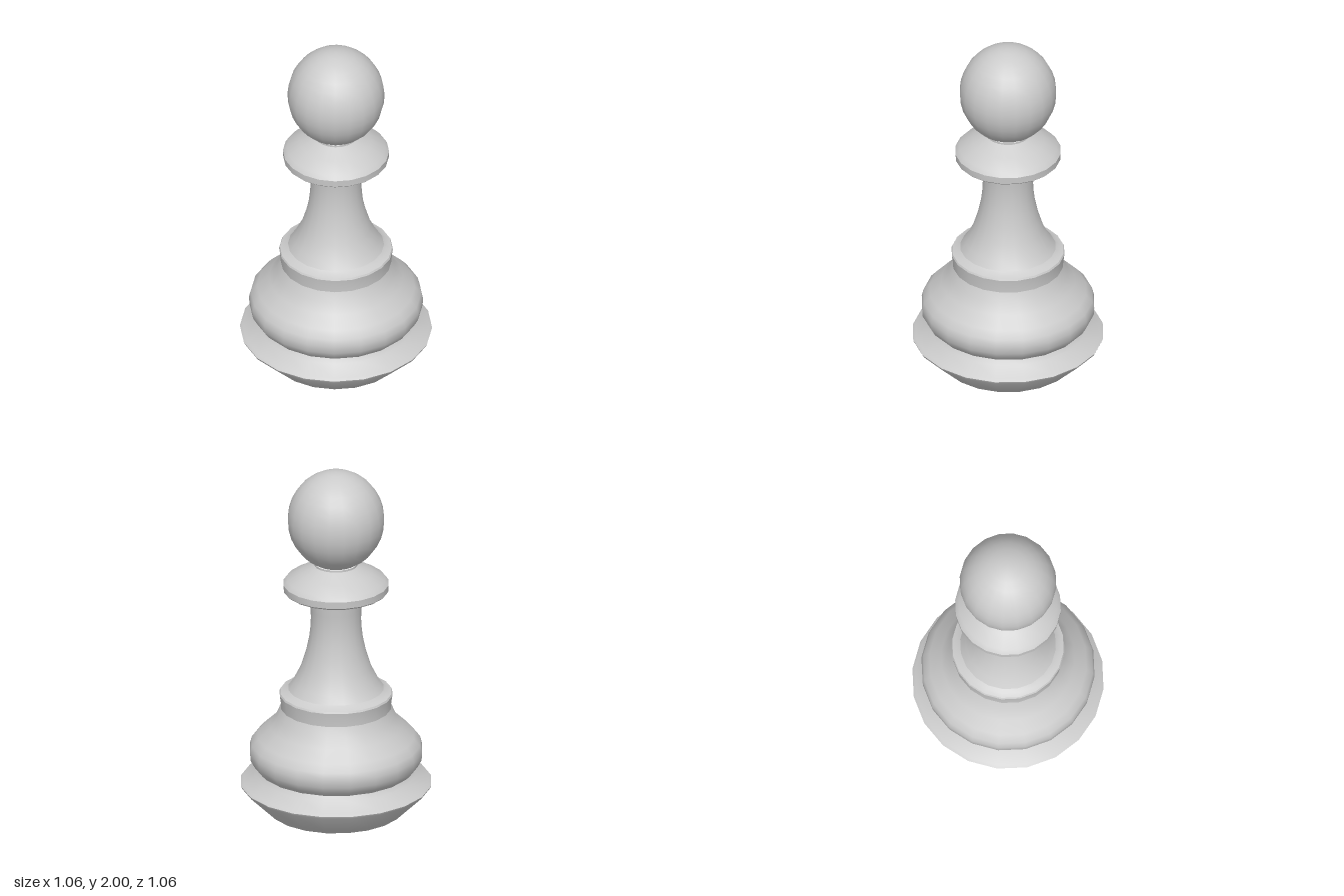
import * as THREE from 'three';
import { toCreasedNormals } from 'three/addons/utils/BufferGeometryUtils.js';

const SIDES = 20;
const TURN = 0.058; // slight turn of the facets about the axis

export function createModel() {
  const pawn = new THREE.Group();
  pawn.name = 'pawn';
  const material = new THREE.MeshStandardMaterial({ color: 0xcccccc });

  // Turns a bottom-to-top profile of [radius, height] pairs
  function addTurned(name, profile, crease = 0.55) {
    const points = profile.map(([r, y]) => new THREE.Vector2(r, y));
    const lathe = new THREE.LatheGeometry(points, SIDES, TURN);
    const mesh = new THREE.Mesh(toCreasedNormals(lathe, crease), material);
    mesh.name = name;
    pawn.add(mesh);
  }

  // Flared foot with a sharp rim and a groove above it
  addTurned('base', [
    [0, 0], [0.375, 0], [0.40, 0.025], [0.525, 0.148],
    [0.53, 0.16], [0.515, 0.172], [0.44, 0.215], [0.42, 0.245],
  ]);

  // Rounded belly narrowing to the waist
  addTurned('body', [
    [0.42, 0.245], [0.432, 0.246], [0.455, 0.27], [0.477, 0.31], [0.48, 0.355],
    [0.47, 0.395], [0.435, 0.435], [0.37, 0.497], [0.33, 0.55], [0.306, 0.605],
  ]);

  // Raised band around the waist
  addTurned('waistRing', [
    [0.306, 0.605], [0.308, 0.645], [0.314, 0.685], [0.309, 0.695],
    [0.285, 0.703], [0.265, 0.717],
  ]);

  // Concave neck
  addTurned('stem', [
    [0.265, 0.717], [0.235, 0.76], [0.195, 0.84], [0.167, 0.93], [0.15, 1.01],
    [0.143, 1.07], [0.14, 1.13], [0.142, 1.19], [0.152, 1.295],
  ]);

  // Collar with flat underside and sloping top
  addTurned('collar', [
    [0.152, 1.293], [0.28, 1.293], [0.291, 1.303], [0.293, 1.342],
    [0.272, 1.367], [0.2, 1.408], [0.12, 1.45], [0.12, 1.462],
  ]);

  // Slightly tall ball, cut off where it meets the collar
  const head = [];
  const rings = 14;
  const start = -1.14;
  for (let i = 0; i <= rings; i++) {
    const a = start + (Math.PI / 2 - start) * i / rings;
    head.push([i === rings ? 0 : 0.268 * Math.cos(a), 1.718 + 0.282 * Math.sin(a)]);
  }
  addTurned('head', head, 1);

  return pawn;
}
